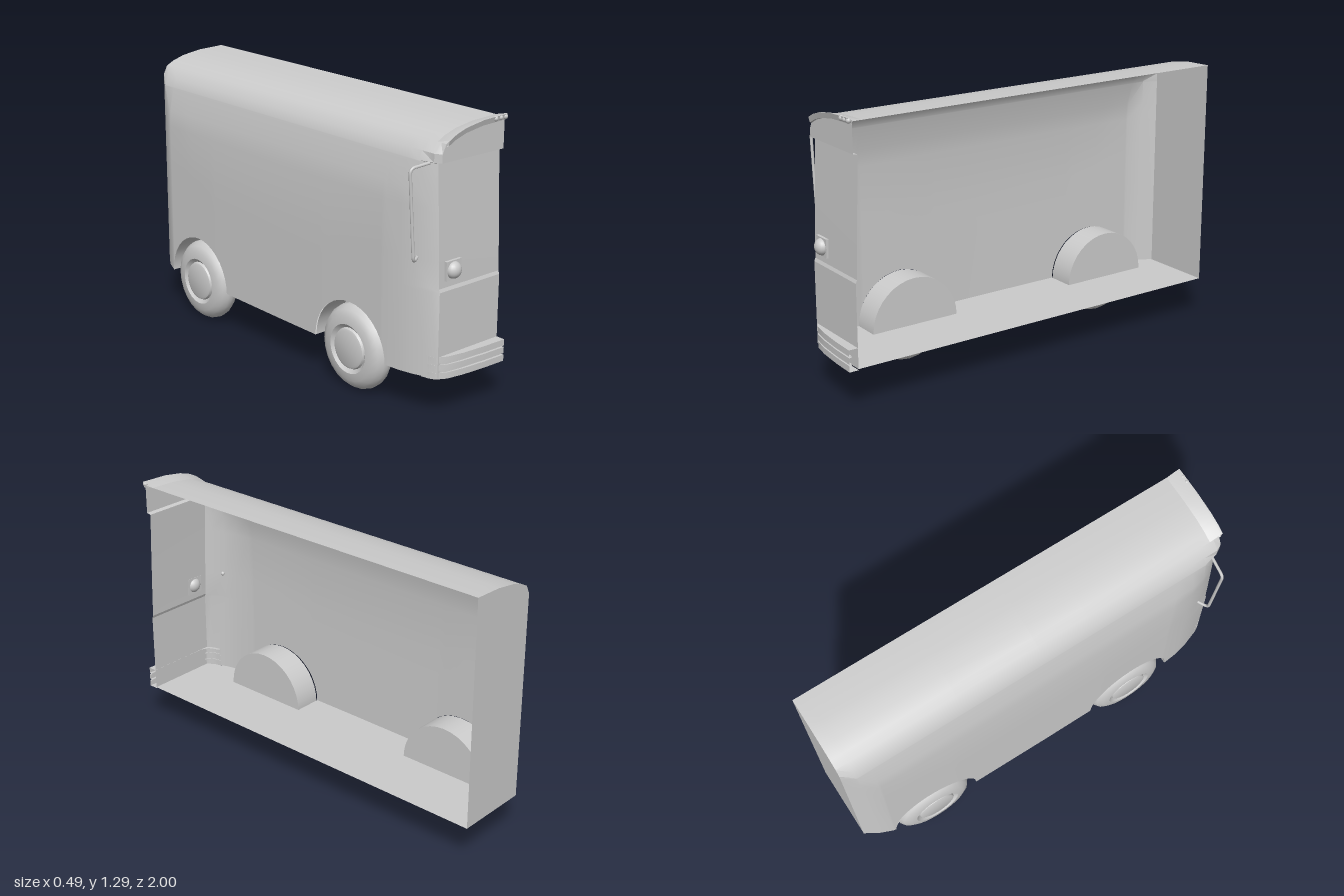
import * as THREE from 'three';
import { toCreasedNormals } from 'three/addons/utils/BufferGeometryUtils.js';

const CUT = 0.24;            // open side of the half body
const FLOOR = 0.2;
const ARCH_R = 0.225;
const WHEELS = [0.48, -0.635];

const grey = new THREE.MeshStandardMaterial({ color: 0xcccccc, side: THREE.DoubleSide });

function add(parent, name, geometry, x = 0, y = 0, z = 0) {
  const mesh = new THREE.Mesh(geometry, grey);
  mesh.name = name;
  mesh.position.set(x, y, z);
  parent.add(mesh);
  return mesh;
}

// Skin over rows of [x, y, z] points
function loft(rows, crease = 0.45) {
  const n = rows[0].length, index = [];
  for (let i = 0; i < rows.length - 1; i++) {
    for (let j = 0; j < n - 1; j++) {
      const a = i * n + j, b = a + n;
      index.push(a, b, a + 1, b, b + 1, a + 1);
    }
  }
  const g = new THREE.BufferGeometry();
  g.setAttribute('position', new THREE.Float32BufferAttribute(rows.flat(2), 3));
  g.setIndex(index);
  g.computeVertexNormals();
  return toCreasedNormals(g, crease);
}

// Half width along the length: [z, width]
const PLAN = [[-1, 0.12], [-0.94, 0.158], [-0.87, 0.187], [-0.5, 0.197], [0, 0.199], [0.3, 0.198],
  [0.68, 0.192], [0.78, 0.182], [0.85, 0.165], [0.92, 0.138], [0.95, 0.12]];

function halfWidth(z) {
  let i = 0;
  while (i < PLAN.length - 2 && z > PLAN[i + 1][0]) i++;
  const [z0, w0] = PLAN[i], [z1, w1] = PLAN[i + 1];
  return w0 + (w1 - w0) * (z - z0) / (z1 - z0);
}

// Cross-section from sill to roof centre: [x, y, forward shift at the nose]
const SECTION = [[-0.2, FLOOR, 0.006], [-0.2, 0.585, 0.006], [-0.2, 0.6, 0], [-0.2, 0.72, -0.004],
  [-0.191, 0.95, -0.014], [-0.182, 1.03, -0.018], [-0.156, 1.138, -0.023], [-0.155, 1.142, 0],
  [-0.137, 1.18, 0], [-0.1, 1.22, 0], [-0.06, 1.241, 0], [0, 1.26, 0], [0.1, 1.275, 0], [CUT, 1.28, 0]];

function sillHeight(z) {
  let y = FLOOR;
  for (const c of WHEELS) {
    const d = ARCH_R ** 2 - (z - c) ** 2;
    if (d > 0) y = Math.max(y, FLOOR + Math.sqrt(d));
  }
  return y;
}

function sectionAt(z) {
  const nose = Math.max(0, (z - 0.85) / 0.1);
  return SECTION.map(([x, y, shift], i) =>
    [Math.max(x, -halfWidth(z)), i === 0 ? sillHeight(z) : y, z + shift * nose]);
}

// Flat end panel rows reaching from the section outline to the cut
const endPanel = (z) => loft(sectionAt(z).map(([x, y, d]) => [[x, y, d], [CUT, y, d]]), 0.1);

function buildBody(root) {
  const body = new THREE.Group();
  body.name = 'body';
  root.add(body);

  const stations = PLAN.map((p) => p[0]);
  for (const c of WHEELS) {
    for (let i = 0; i <= 18; i++) stations.push(c - ARCH_R * Math.cos(Math.PI * i / 18));
  }
  stations.sort((a, b) => a - b);
  add(body, 'sideAndRoof', loft(stations.map(sectionAt)));
  add(body, 'frontPanel', endPanel(0.95));
  add(body, 'backPanel', endPanel(-1));

  // Floor with notches at the wheels (shape y is -z)
  const floor = new THREE.Shape();
  floor.moveTo(CUT, 1);
  for (const z of stations) {
    const c = WHEELS.find((w) => Math.abs(z - w) < ARCH_R + 1e-6);
    const first = c !== undefined && Math.abs(z - c + ARCH_R) < 1e-6;
    const last = c !== undefined && Math.abs(z - c - ARCH_R) < 1e-6;
    if (c === undefined) floor.lineTo(-halfWidth(z), -z);
    if (first) { floor.lineTo(-halfWidth(z), -z); floor.lineTo(-0.06, -z); }
    if (last) { floor.lineTo(-0.06, -z); floor.lineTo(-halfWidth(z), -z); }
  }
  floor.lineTo(-0.12, -0.956);
  floor.lineTo(CUT, -0.956);
  add(body, 'floor', new THREE.ShapeGeometry(floor).rotateX(-Math.PI / 2), 0, FLOOR, 0);

  // Wheel housings: half drum and inner wall
  for (const z of WHEELS) {
    const drum = new THREE.CylinderGeometry(ARCH_R, ARCH_R, 0.132, 18, 1, true, 0, Math.PI);
    add(body, 'wheelHousing', drum.rotateZ(Math.PI / 2).rotateX(0), -0.126, FLOOR, z);
    const wall = new THREE.CircleGeometry(ARCH_R, 18, 0, Math.PI).rotateY(Math.PI / 2);
    add(body, 'wheelHousingWall', wall, -0.06, FLOOR, z);
  }
}

function buildWheel(root, z) {
  const wheel = new THREE.Group();
  wheel.name = 'wheel';
  wheel.position.set(-0.142, 0.203, z);
  root.add(wheel);
  // Lathe axis y is turned to point along -x
  const tyre = [[0.095, -0.045], [0.115, -0.06], [0.15, -0.058], [0.178, -0.044], [0.195, -0.02],
    [0.199, 0], [0.195, 0.02], [0.178, 0.044], [0.15, 0.058], [0.115, 0.062], [0.095, 0.045]];
  const hub = [[0, -0.042], [0.095, -0.045], [0.098, 0.045], [0.092, 0.058], [0.082, 0.062], [0, 0.062]];
  const turn = (pts, crease) => toCreasedNormals(
    new THREE.LatheGeometry(pts.map((p) => new THREE.Vector2(...p)), 24), crease).rotateZ(Math.PI / 2);
  add(wheel, 'tyre', turn(tyre, 0.7));
  add(wheel, 'hub', turn(hub, 0.5));
}

function buildFrontDetails(root) {
  // Roof lip that kicks up over the windscreen
  const lip = SECTION.filter(([x, y]) => y >= 1.22).map(([x, y]) => [
    [x, y, 0.9], [x, y + 0.014, 0.955], [x, y + 0.015, 0.967], [x, y - 0.01, 0.96], [x, y - 0.012, 0.949]]);
  add(root, 'roofLip', loft(lip));

  for (const x of [0.173, 0.203, 0.231]) {
    add(root, 'markerLamp', new THREE.SphereGeometry(0.012, 12, 8), x, 1.283, 0.96);
  }

  add(root, 'headlightPlate', new THREE.BoxGeometry(0.086, 0.086, 0.014), -0.044, 0.672, 0.952);
  const lamp = new THREE.SphereGeometry(0.038, 20, 14);
  lamp.scale(1, 1, 0.85);
  add(root, 'headlight', lamp, -0.044, 0.672, 0.957);

  // Ribbed bumper wrapping round the corner: [outer x, outer z, inner x, inner z]
  const path = [[CUT, 1, CUT, 0.955], [0.12, 0.997, 0.12, 0.955], [0, 0.988, 0, 0.955],
    [-0.08, 0.974, -0.08, 0.953], [-0.125, 0.95, -0.115, 0.938], [-0.14, 0.92, -0.125, 0.915],
    [-0.147, 0.885, -0.135, 0.885]];
  const ribs = [[0.195, 1], [0.195, 0]];
  for (let i = 0; i < 3; i++) {
    const y = 0.195 + i * 0.036;
    ribs.push([y + 0.029, 0]);
    if (i < 2) ribs.push([y + 0.029, 0.3], [y + 0.036, 0.3], [y + 0.036, 0]);
  }
  ribs.push([0.296, 1]);
  add(root, 'bumper', loft(path.map(([ox, oz, ix, iz]) =>
    ribs.map(([y, k]) => [ox + (ix - ox) * k, y, oz + (iz - oz) * k]))));
}

function buildMirrorArm(root) {
  // Bent rod with rounded corners
  const pts = [[-0.11, 1.14, 0.9], [-0.238, 1.128, 0.885], [-0.208, 0.722, 0.885], [-0.155, 0.728, 0.855]]
    .map((p) => new THREE.Vector3(...p));
  const path = new THREE.CurvePath();
  let from = pts[0];
  for (let i = 1; i < pts.length - 1; i++) {
    const a = pts[i].clone().add(pts[i - 1].clone().sub(pts[i]).setLength(0.025));
    const b = pts[i].clone().add(pts[i + 1].clone().sub(pts[i]).setLength(0.025));
    path.add(new THREE.LineCurve3(from, a));
    path.add(new THREE.QuadraticBezierCurve3(a, pts[i], b));
    from = b;
  }
  path.add(new THREE.LineCurve3(from, pts[pts.length - 1]));
  add(root, 'mirrorArm', new THREE.TubeGeometry(path, 90, 0.007, 8));
  add(root, 'mirrorBracket', new THREE.SphereGeometry(0.01, 10, 8), -0.155, 0.728, 0.855);
}

export function createModel() {
  const root = new THREE.Group();
  root.name = 'halfVan';
  buildBody(root);
  WHEELS.forEach((z) => buildWheel(root, z));
  buildFrontDetails(root);
  buildMirrorArm(root);
  return root;
}
